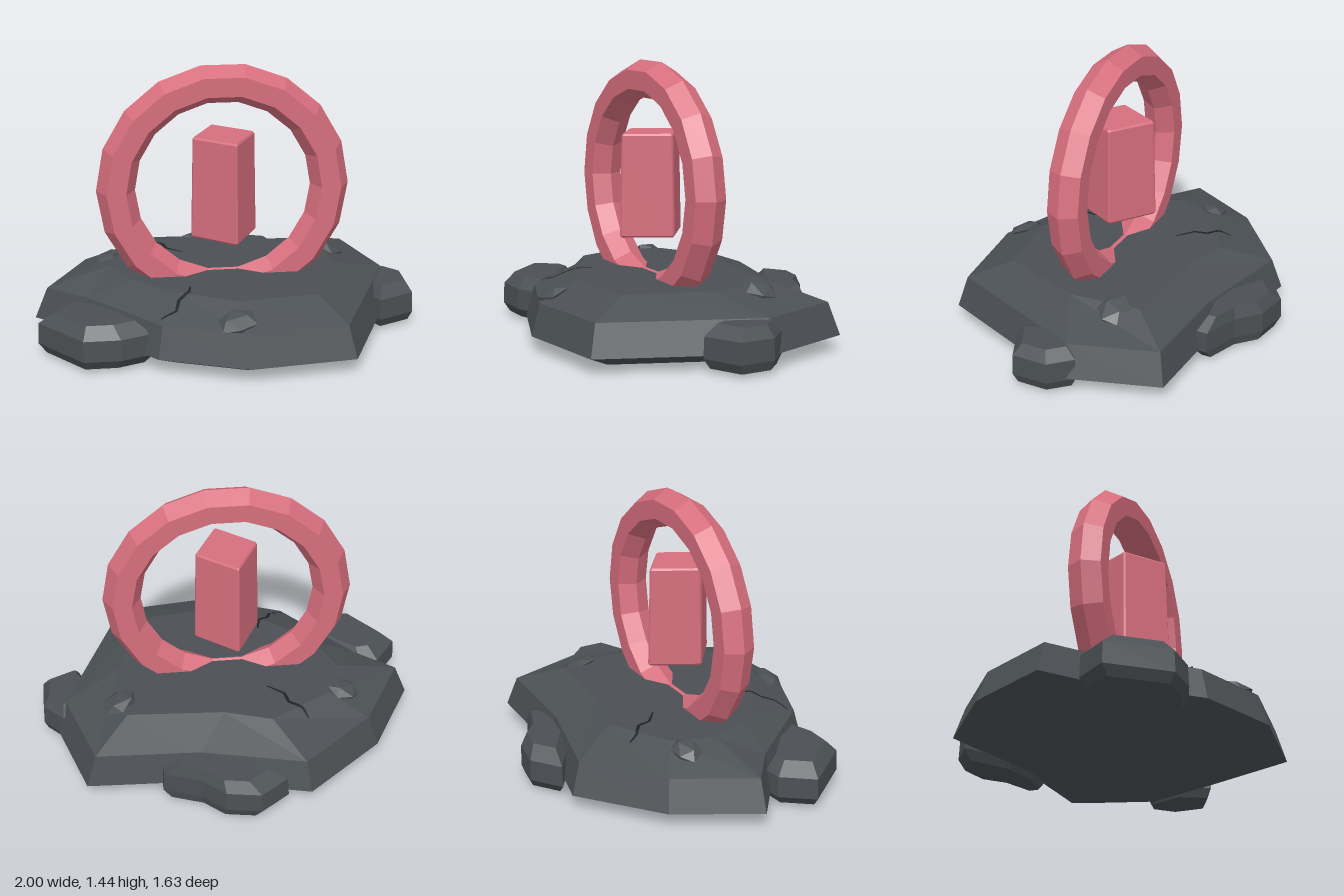
import * as THREE from 'three';

// Faceted normals: unshare the vertices
function facet(geo) {
  const g = geo.index ? geo.toNonIndexed() : geo;
  g.computeVertexNormals();
  return g;
}

// Skin closed rings of [x, y, z], ordered bottom to top, and cap both ends
function loft(rings) {
  const n = rings[0].length, pos = [];
  const tri = (a, b, c) => pos.push(...a, ...b, ...c);
  const mid = ring => [0, 1, 2].map(k => ring.reduce((s, p) => s + p[k], 0) / n);
  const low = rings[0], high = rings[rings.length - 1];
  const lowMid = mid(low), highMid = mid(high);
  for (let i = 0; i < n; i++) {
    const j = (i + 1) % n;
    for (let r = 0; r < rings.length - 1; r++) {
      const a = rings[r], b = rings[r + 1];
      tri(a[i], b[i], b[j]);
      tri(a[i], b[j], a[j]);
    }
    tri(lowMid, low[i], low[j]);
    tri(highMid, high[j], high[i]);
  }
  const g = new THREE.BufferGeometry();
  g.setAttribute('position', new THREE.Float32BufferAttribute(pos, 3));
  return facet(g);
}

// Scale a flat [x, z] outline about a centre and lift it to height y
const level = (outline, [cx, cz], s, y) =>
  outline.map(([x, z]) => [cx + (x - cx) * s, y, cz + (z - cz) * s]);

export function createModel() {
  const group = new THREE.Group();
  const stone = new THREE.MeshStandardMaterial({ color: 0x4b5054 });
  stone.name = 'dark stone';
  const rose = new THREE.MeshStandardMaterial({ color: 0xd66e7d });
  rose.name = 'rose crystal';
  const crackDark = new THREE.MeshStandardMaterial({ color: 0x202325, side: THREE.DoubleSide });
  crackDark.name = 'crack shadow';
  const add = (name, geo, mat) => {
    const m = new THREE.Mesh(geo, mat);
    m.name = name;
    group.add(m);
    return m;
  };

  // Main slab: wide rim, sloping shoulder, flat plateau
  const rim = [[-1, 0.03], [-0.77, -0.39], [-0.37, -0.715], [0.2, -0.58], [0.78, -0.555],
    [0.93, -0.08], [0.58, 0.75], [0.04, 0.81], [-0.4, 0.64], [-0.78, 0.2]];
  const plateau = [[-0.6, -0.02], [-0.52, -0.24], [-0.2, -0.42], [0.05, -0.34], [0.55, -0.31],
    [0.58, 0.07], [0.42, 0.5], [0.02, 0.55], [-0.28, 0.4], [-0.5, 0.2]];
  const centre = [0, 0.08];
  const slab = add('baseSlab', loft([
    level(rim, centre, 0.76, 0),
    level(rim, centre, 1, 0.08),
    level(rim, centre, 0.935, 0.245),
    level(plateau, centre, 1, 0.335),
  ]), stone);

  // Boulders set against the rim
  const boulders = {
    frontRightBoulder: [[-0.99, 0.34], [-0.87, 0.18], [-0.77, 0.17], [-0.55, 0.36],
      [-0.42, 0.55], [-0.58, 0.61], [-0.77, 0.61]],
    backBoulder: [[-0.25, -0.71], [-0.1, -0.82], [0.08, -0.79], [0.2, -0.68],
      [0.39, -0.61], [0.39, -0.55], [0.2, -0.52], [-0.02, -0.56]],
    leftBoulder: [[0.79, -0.09], [0.89, -0.13], [0.995, -0.02], [0.995, 0.17], [0.8, 0.26], [0.72, 0.1]],
  };
  for (const [name, o] of Object.entries(boulders)) {
    const c = [0, 1].map(k => o.reduce((s, p) => s + p[k], 0) / o.length);
    add(name, loft([
      level(o, c, 0.85, 0.02), level(o, c, 1, 0.07),
      level(o, c, 0.98, 0.18), level(o, c, 0.7, 0.24),
    ]), stone);
  }

  // Height and slope of the slab surface at a point
  const ray = new THREE.Raycaster();
  slab.updateMatrixWorld();
  const surface = (x, z) => {
    ray.set(new THREE.Vector3(x, 2, z), new THREE.Vector3(0, -1, 0));
    const hit = ray.intersectObject(slab)[0];
    return hit ? { y: hit.point.y, normal: hit.face.normal } : { y: 0.25, normal: new THREE.Vector3(0, 1, 0) };
  };

  // Flat pebbles half sunk in the surface
  [[-0.61, -0.2, 0.09, 0.5], [0.59, -0.19, 0.105, 1.2], [-0.01, 0.67, 0.105, 0.1]].forEach(([x, z, r, turn]) => {
    const s = surface(x, z);
    const geo = new THREE.IcosahedronGeometry(1, 0).rotateY(turn).scale(r, 0.035, r * 0.85);
    const pebble = add('pebble', facet(geo), stone);
    pebble.position.set(x, s.y, z);
    pebble.quaternion.setFromUnitVectors(new THREE.Vector3(0, 1, 0), s.normal);
  });

  // Cracks: thin ribbons following the surface, narrowing at the ends
  const cracks = [
    [[-0.39, -0.4], [-0.37, -0.35], [-0.3, -0.3], [-0.285, -0.23], [-0.2, -0.16]],
    [[-0.21, 0.34], [-0.225, 0.41], [-0.28, 0.46], [-0.3, 0.53], [-0.38, 0.56]],
  ];
  for (const path of cracks) {
    const pts = [];
    path.slice(1).forEach((b, i) => {
      const a = path[i];
      for (let k = 0; k < 4; k++) pts.push([a[0] + (b[0] - a[0]) * k / 4, a[1] + (b[1] - a[1]) * k / 4]);
    });
    pts.push(path[path.length - 1]);
    const pos = [], index = [];
    pts.forEach(([x, z], i) => {
      const a = pts[Math.max(i - 1, 0)], b = pts[Math.min(i + 1, pts.length - 1)];
      const dx = b[0] - a[0], dz = b[1] - a[1], len = Math.hypot(dx, dz);
      const w = 0.004 + 0.005 * Math.sin(Math.PI * i / (pts.length - 1));
      for (const side of [-1, 1]) {
        const px = x - side * w * dz / len, pz = z + side * w * dx / len;
        pos.push(px, surface(px, pz).y + 0.006, pz);
      }
      if (i) index.push(2 * i - 2, 2 * i - 1, 2 * i, 2 * i, 2 * i - 1, 2 * i + 1);
    });
    const geo = new THREE.BufferGeometry();
    geo.setAttribute('position', new THREE.Float32BufferAttribute(pos, 3));
    geo.setIndex(index);
    add('crack', facet(geo), crackDark);
  }

  // Upright ring with a hexagonal section, sunk into the slab
  const ring = add('ring', facet(new THREE.TorusGeometry(0.555, 0.1, 6, 18)), rose);
  ring.position.set(-0.013, 0.79, 0.095);

  // Floating tapered block, turned on its axis, with slim bevels
  const corners = [[-0.175, 0.04], [-0.045, -0.205], [0.175, -0.04], [0.045, 0.205]];
  const section = corners.flatMap((p, i) => [corners[(i + 3) % 4], corners[(i + 1) % 4]].map(
    q => [p[0] + (q[0] - p[0]) * 0.03, p[1] + (q[1] - p[1]) * 0.03]));
  const block = add('floatingBlock', loft([
    level(section, [0, 0], 0.96, 0.535), level(section, [0, 0], 1.01, 0.545),
    level(section, [0, 0], 0.95, 1.062), level(section, [0, 0], 0.9, 1.072),
  ]), rose);
  block.position.set(-0.01, 0, 0.098);

  return group;
}
